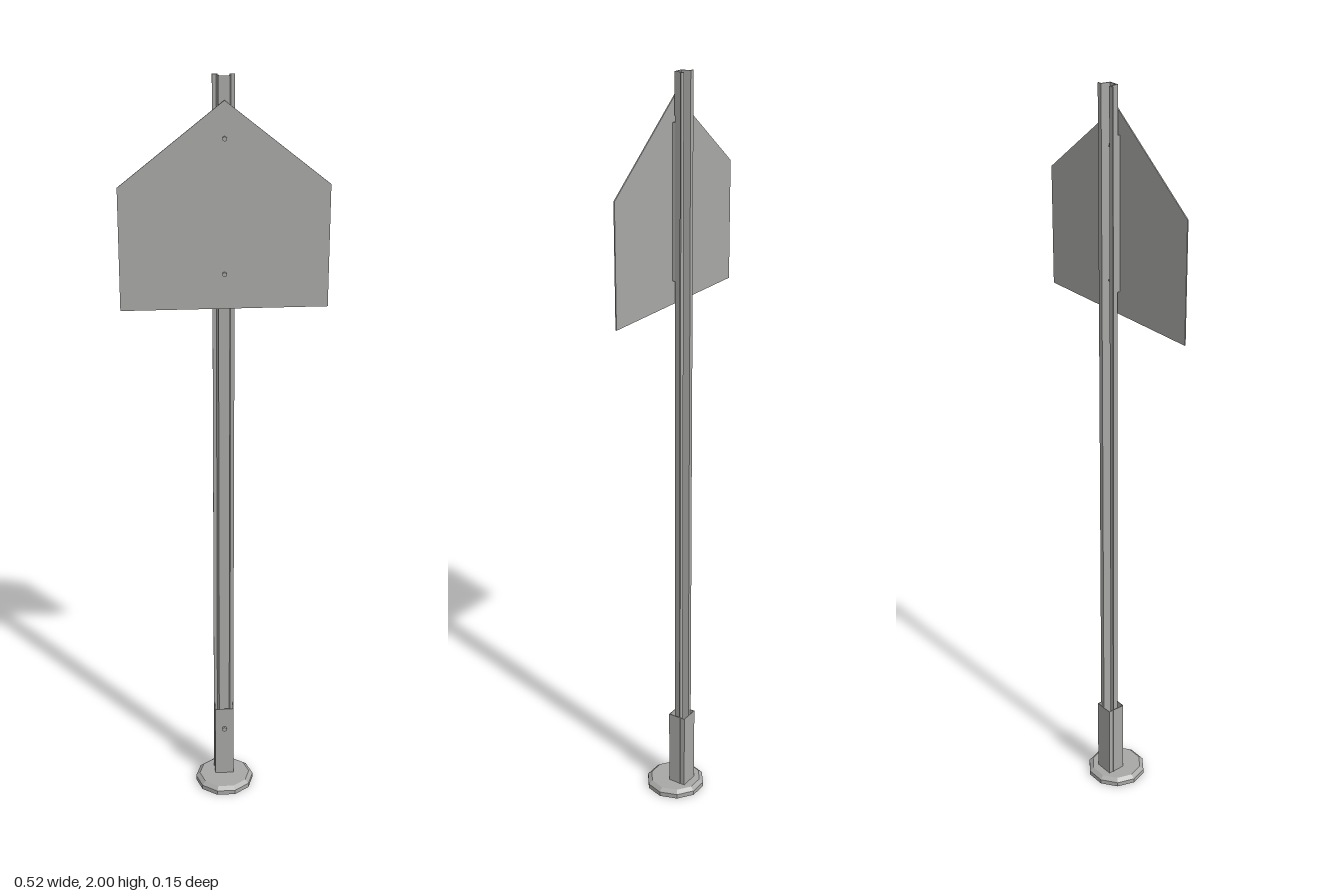
import * as THREE from 'three';

export function createModel() {
  const group = new THREE.Group();
  const metal = new THREE.MeshStandardMaterial({ color: 0xa8a8a6 });
  metal.name = 'galvanised grey';
  metal.flatShading = true;

  const add = (name, geometry, x = 0, y = 0, z = 0) => {
    const mesh = new THREE.Mesh(geometry, metal);
    mesh.name = name;
    mesh.position.set(x, y, z);
    group.add(mesh);
    return mesh;
  };
  const polygon = (points) => new THREE.Shape(points.map(([x, y]) => new THREE.Vector2(x, y)));
  const extrude = (shape, depth) => new THREE.ExtrudeGeometry(shape, { depth, bevelEnabled: false });
  // Extrudes a plan outline (x, -z) upwards
  const extrudeUp = (shape, height) => extrude(shape, height).rotateX(-Math.PI / 2);

  // Ten-sided foot with a chamfered rim
  const foot = (rTop, rBottom, h) => new THREE.CylinderGeometry(rTop, rBottom, h, 10).rotateY(Math.PI / 10);
  add('footPlate', foot(0.081, 0.081, 0.013), 0, 0.0065, -0.001);
  add('footChamfer', foot(0.07, 0.081, 0.009), 0, 0.0175, -0.001);

  // Square hollow socket
  const socket = polygon([[-0.026, -0.003], [0.026, -0.003], [0.026, 0.047], [-0.026, 0.047]]);
  socket.holes.push(polygon([[-0.0245, -0.0015], [-0.0245, 0.0455], [0.0245, 0.0455], [0.0245, -0.0015]]));
  add('socket', extrudeUp(socket, 0.22), 0, 0.02, 0);

  // Hat-section post, open towards the back
  const half = [[0.014, 0.008], [0.018, 0.031], [0.0275, 0.031], [0.0275, 0.034], [0.015, 0.034], [0.011, 0.011]];
  const profile = [...half, ...half.slice().reverse().map(([x, z]) => [-x, z])];
  add('post', extrudeUp(polygon(profile), 1.98), 0, 0.02, 0);

  // Five-sided sign plate
  const plate = polygon([[-0.258, 1.43], [0.258, 1.43], [0.258, 1.74], [0, 1.945], [-0.258, 1.74]]);
  add('signPlate', extrude(plate, 0.003), 0, 0, -0.0015);

  // Spacer strip behind the plate
  add('spacer', new THREE.BoxGeometry(0.028, 0.39, 0.0065), 0, 1.685, -0.00475);

  // Hexagonal bolts, with nuts inside the post channel
  const hex = (r, depth) => new THREE.CylinderGeometry(r, r, depth, 6).rotateX(Math.PI / 2);
  for (const y of [1.52, 1.855]) {
    add('signBolt', hex(0.006, 0.007), 0, y, 0.005);
    add('signNut', hex(0.007, 0.007), 0, y, -0.0145);
    add('boltShank', hex(0.003, 0.026), 0, y, -0.01);
  }
  add('socketBolt', hex(0.007, 0.008), 0, 0.175, 0.006);

  return group;
}
